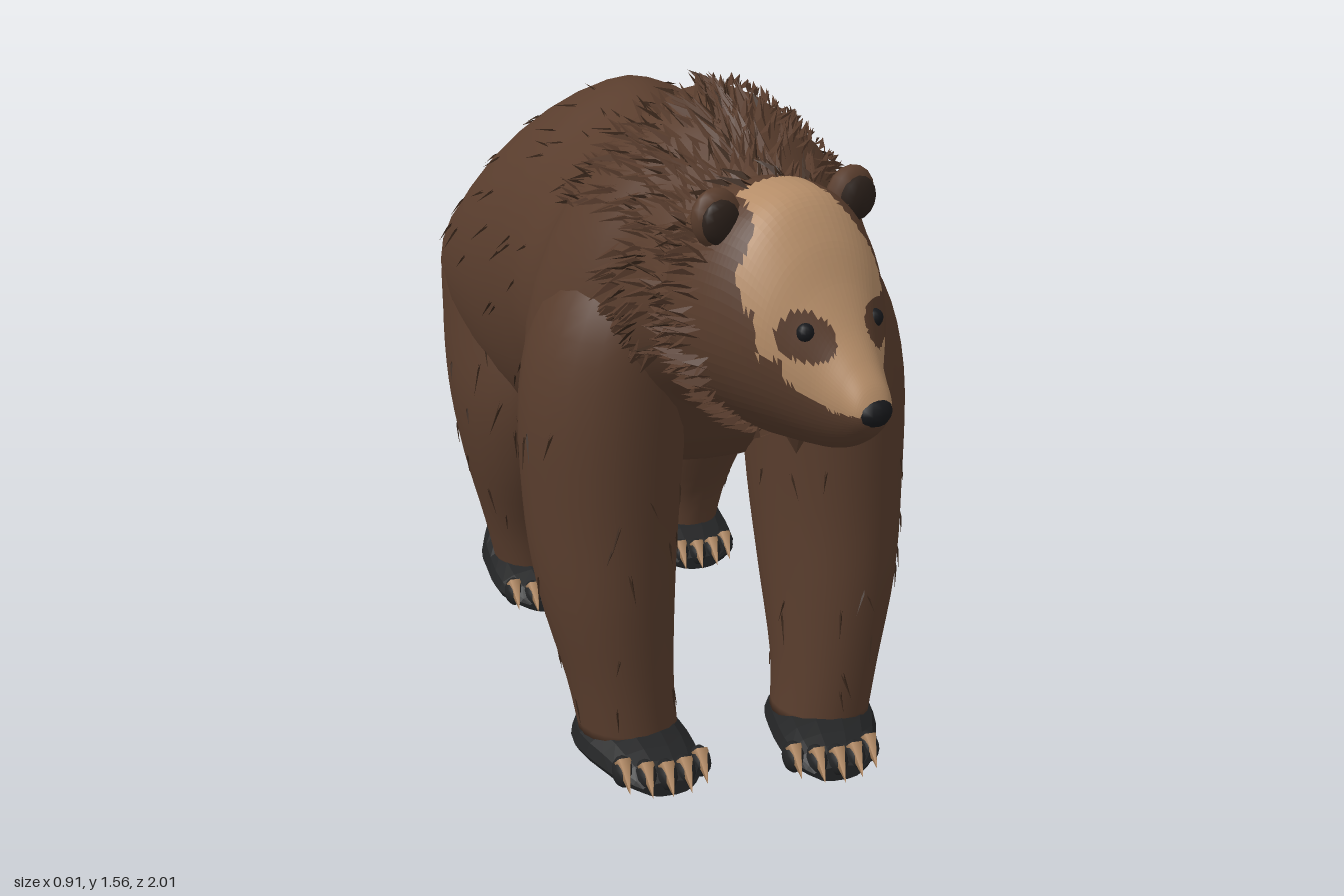
import * as THREE from 'three';

const mat = (name, color, side = THREE.FrontSide) => {
  const m = new THREE.MeshStandardMaterial({ color, side });
  m.name = name;
  return m;
};

// Seeded random numbers
let seed = 7;
const rnd = (a = 0, b = 1) => {
  seed = (seed * 16807) % 2147483647;
  return a + (b - a) * (seed / 2147483647);
};

// Smooth interpolation through rows of section values, u in 0..1
function sample(rows, u) {
  const f = THREE.MathUtils.clamp(u, 0, 1) * (rows.length - 1);
  const i = Math.min(Math.floor(f), rows.length - 2), t = f - i;
  const p0 = rows[Math.max(i - 1, 0)], p1 = rows[i], p2 = rows[i + 1];
  const p3 = rows[Math.min(i + 2, rows.length - 1)];
  return p1.map((b, k) => {
    const m1 = (p2[k] - p0[k]) / 2, m2 = (p3[k] - b) / 2, d = p2[k] - b;
    return b + t * (m1 + t * (3 * d - 2 * m1 - m2 + t * (m1 + m2 - 2 * d)));
  });
}

// Surface along z, rows from front to back: [z, top, widest y, bottom, half width, centre x]
const alongZ = (rows, upper, lower) => (u, t) => {
  const [z, top, mid, bot, w, cx = 0] = sample(rows, u);
  const c = Math.cos(t), s = Math.sin(t);
  const x = w * Math.sign(c) * Math.pow(Math.abs(c), s > 0 ? upper : lower);
  return new THREE.Vector3(cx + x, mid + s * (s > 0 ? top - mid : mid - bot), z);
};

// Surface along y, rows from bottom to top: [y, centre x, centre z, radius x, radius z]
const alongY = (rows) => (u, t) => {
  const [y, cx, cz, rx, rz] = sample(rows, u);
  return new THREE.Vector3(cx + rx * Math.cos(t), y, cz + rz * Math.sin(t));
};

// Skin a surface function with closed rings and end caps
function loft(fn, nu, nv) {
  const pos = [], idx = [];
  for (let i = 0; i <= nu; i++)
    for (let j = 0; j < nv; j++) pos.push(...fn(i / nu, (j / nv) * Math.PI * 2).toArray());
  for (let i = 0; i < nu; i++)
    for (let j = 0; j < nv; j++) {
      const k = (j + 1) % nv, a = i * nv + j, b = a + nv, c = i * nv + k, d = c + nv;
      idx.push(a, b, c, b, d, c);
    }
  for (let j = 1; j < nv - 1; j++) {
    idx.push(0, j, j + 1);
    idx.push(nu * nv, nu * nv + j + 1, nu * nv + j);
  }
  const g = new THREE.BufferGeometry();
  g.setAttribute('position', new THREE.Float32BufferAttribute(pos, 3));
  g.setIndex(idx);
  g.computeVertexNormals();
  return g;
}

const flat = (g) => {
  const f = g.toNonIndexed();
  f.computeVertexNormals();
  return f;
};

// Sort faces into two material groups by a rule on their centres
function paint(g, rule) {
  const p = g.attributes.position, idx = g.index.array, sets = [[], []];
  const v = new THREE.Vector3(), c = new THREE.Vector3();
  for (let i = 0; i < idx.length; i += 3) {
    c.set(0, 0, 0);
    for (let k = 0; k < 3; k++) c.addScaledVector(v.fromBufferAttribute(p, idx[i + k]), 1 / 3);
    sets[rule(c) ? 1 : 0].push(idx[i], idx[i + 1], idx[i + 2]);
  }
  g.setIndex([...sets[0], ...sets[1]]);
  g.addGroup(0, sets[0].length, 0);
  g.addGroup(sets[0].length, sets[1].length, 1);
  return g;
}

// Pointed fur locks lying on a surface; along = +1 or -1 in u, droop = pull downwards
function locks(fn, count, [u0, u1], [t0, t1], { length, width, lift, along = 1, droop = 0 }) {
  const pos = [];
  for (let i = 0; i < count; i++) {
    const u = rnd(u0, u1), t = rnd(t0, t1), p = fn(u, t);
    const du = fn(u + 0.01, t).sub(fn(u - 0.01, t)).normalize();
    const dt = fn(u, t + 0.02).sub(fn(u, t - 0.02)).normalize();
    const n = du.clone().cross(dt).normalize();
    const d = du.multiplyScalar(along).addScaledVector(dt, rnd(-0.45, 0.45) - droop * Math.cos(t)).normalize();
    const s = n.clone().cross(d), L = length * rnd(0.6, 1.3), W = width * rnd(0.6, 1.2);
    const a = p.clone().addScaledVector(s, W).addScaledVector(n, -0.004);
    const b = p.clone().addScaledVector(s, -W).addScaledVector(n, -0.004);
    const ridge = p.clone().addScaledVector(d, L * 0.3).addScaledVector(n, lift * 0.7);
    const tip = p.clone().addScaledVector(d, L).addScaledVector(n, lift);
    for (const q of [a, ridge, tip, ridge, b, tip]) pos.push(q.x, q.y, q.z);
  }
  const g = new THREE.BufferGeometry();
  g.setAttribute('position', new THREE.Float32BufferAttribute(pos, 3));
  g.computeVertexNormals();
  return g;
}

export function createModel() {
  seed = 7;
  const model = new THREE.Group();
  model.name = 'bear';
  const fur = mat('brown fur', 0x593d2d), tuft = mat('brown fur locks', 0x553a2b, THREE.DoubleSide);
  const shade = mat('dark fur locks', 0x3b281c, THREE.DoubleSide), tan = mat('tan face', 0xb58d68);
  const black = mat('black paw', 0x232425), dark = mat('dark nose and eye', 0x17181b);
  const inner = mat('ear inside', 0x2c211b), claw = mat('claw', 0xb48a62);
  const add = (name, geo, material, parent = model) => {
    const m = new THREE.Mesh(geo, material);
    m.name = name;
    parent.add(m);
    return m;
  };
  const ball = (name, material, p, s, parent) => {
    const m = add(name, new THREE.SphereGeometry(1, 12, 8), material, parent);
    m.position.set(...p);
    m.scale.set(...s);
    return m;
  };

  // Trunk with neck, shoulder hump, belly and rump
  const trunk = alongZ([
    [0.65, 1.385, 1.15, 0.93, 0.2], [0.55, 1.43, 1.14, 0.9, 0.24], [0.46, 1.48, 1.08, 0.86, 0.28],
    [0.38, 1.515, 1.0, 0.77, 0.35], [0.28, 1.535, 0.92, 0.68, 0.41], [0.2, 1.525, 0.9, 0.64, 0.42],
    [0.1, 1.465, 0.92, 0.62, 0.38], [0, 1.41, 0.95, 0.59, 0.365], [-0.12, 1.385, 0.95, 0.54, 0.372],
    [-0.25, 1.4, 0.93, 0.48, 0.375], [-0.36, 1.425, 0.93, 0.455, 0.39], [-0.48, 1.41, 0.92, 0.455, 0.425],
    [-0.6, 1.36, 0.9, 0.48, 0.44], [-0.72, 1.275, 0.88, 0.52, 0.435], [-0.82, 1.19, 0.88, 0.58, 0.42],
    [-0.9, 1.1, 0.87, 0.65, 0.375], [-0.95, 1.03, 0.86, 0.7, 0.32], [-0.985, 0.95, 0.85, 0.74, 0.21],
    [-1, 0.87, 0.84, 0.8, 0.06]], 1.25, 0.95);
  add('trunk', loft(trunk, 54, 36), fur);

  // Fur on neck, hump and flanks
  const around = [-0.5, Math.PI + 0.5], over = [0.65, Math.PI - 0.65];
  const ruff = { length: 0.09, width: 0.016, lift: 0.014, droop: 0.3 };
  const fine = { ...ruff, width: 0.008 };
  add('neckRuff', locks(trunk, 200, [0.02, 0.12], around, ruff), tuft);
  add('neckRuffShade', locks(trunk, 60, [0.02, 0.12], around, fine), shade);
  add('humpRuff', locks(trunk, 150, [0.12, 0.23], over, ruff), tuft);
  add('humpRuffShade', locks(trunk, 60, [0.12, 0.25], over, fine), shade);
  const coat = { length: 0.08, width: 0.005, lift: 0.005, droop: 0.9 };
  add('flankFur', locks(trunk, 110, [0.28, 0.9], around, coat), shade);

  // Legs, paws and claws
  const legs = [
    ['frontLeftLeg', 1, 0, true], ['frontRightLeg', -1, -0.04, true],
    ['hindLeftLeg', 1, 0, false], ['hindRightLeg', -1, 0.16, false]];
  const frontRows = [
    [0.07, 0.228, 0.4, 0.115, 0.125], [0.2, 0.243, 0.385, 0.125, 0.14], [0.4, 0.262, 0.335, 0.157, 0.185],
    [0.6, 0.265, 0.3, 0.177, 0.205], [0.87, 0.255, 0.285, 0.19, 0.21], [1.08, 0.21, 0.28, 0.18, 0.2],
    [1.27, 0.13, 0.27, 0.13, 0.12]];
  const hindRows = [
    [0.07, 0.235, -0.8, 0.095, 0.115], [0.2, 0.245, -0.79, 0.115, 0.135], [0.4, 0.26, -0.74, 0.152, 0.212],
    [0.58, 0.255, -0.708, 0.185, 0.265], [0.76, 0.235, -0.7, 0.207, 0.285], [0.94, 0.21, -0.69, 0.217, 0.27],
    [1.12, 0.17, -0.67, 0.16, 0.17]];
  const frontPaw = [
    [0.64, 0.035, 0.025, 0, 0.06, 0.195], [0.6, 0.07, 0.035, 0, 0.097, 0.2], [0.52, 0.095, 0.035, 0, 0.118, 0.21],
    [0.42, 0.105, 0.04, 0, 0.13, 0.228], [0.32, 0.1, 0.04, 0, 0.11, 0.23], [0.26, 0.06, 0.035, 0, 0.05, 0.23]];
  const hindPaw = [
    [-0.585, 0.035, 0.025, 0, 0.06, 0.225], [-0.615, 0.065, 0.035, 0, 0.1, 0.225],
    [-0.69, 0.095, 0.04, 0, 0.125, 0.23], [-0.8, 0.12, 0.05, 0, 0.122, 0.235],
    [-0.88, 0.17, 0.06, 0, 0.115, 0.24], [-0.925, 0.2, 0.07, 0, 0.09, 0.242], [-0.94, 0.18, 0.08, 0.01, 0.04, 0.242]];
  for (const [name, side, shift, front] of legs) {
    const leg = new THREE.Group();
    leg.name = name;
    model.add(leg);
    const rows = (front ? frontRows : hindRows).map(([y, x, z, rx, rz]) =>
      [y, side * x, z + shift * THREE.MathUtils.clamp(1.3 - 1.4 * y, 0, 1), rx, rz]);
    const limb = alongY(rows);
    add('limb', loft(limb, 24, 22), fur, leg);
    add('limbFur', locks(limb, 32, [0.12, 0.7], [0, Math.PI * 2],
      { length: 0.08, width: 0.005, lift: 0.004, along: -1 }), shade, leg);
    const pawRows = (front ? frontPaw : hindPaw).map(([z, top, mid, bot, w, x]) => [z + shift, top, mid, bot, w, side * x]);
    const toeZ = pawRows[0][0], toeX = pawRows[0][5];
    add('paw', flat(loft(alongZ(pawRows, 0.9, 0.8), 10, 14)), black, leg);
    for (let i = -2; i <= 2; i++) {
      const x = toeX + i * 0.045, z = toeZ - 0.022 - i * i * 0.01;
      ball('toe', black, [x, 0.042, z], [0.025, 0.036, 0.038], leg);
      const c = add('claw', new THREE.ConeGeometry(0.021, 0.08, 5), claw, leg);
      c.position.set(x, 0.044, z + 0.034);
      c.rotation.x = Math.PI / 2 + 0.75;
    }
  }

  // Head, turned a little to its left
  const head = new THREE.Group();
  head.name = 'head';
  head.position.set(-0.02, 0, 0.55);
  head.rotation.y = 0.32;
  model.add(head);
  const skull = alongZ([
    [0.468, 1.03, 1.01, 0.985, 0.025], [0.45, 1.065, 1.015, 0.96, 0.046], [0.415, 1.11, 1.03, 0.935, 0.062],
    [0.375, 1.165, 1.05, 0.915, 0.084], [0.33, 1.24, 1.085, 0.9, 0.122], [0.28, 1.33, 1.12, 0.892, 0.165],
    [0.22, 1.4, 1.14, 0.885, 0.198], [0.15, 1.42, 1.15, 0.88, 0.22], [0.07, 1.415, 1.15, 0.89, 0.225],
    [-0.02, 1.39, 1.15, 0.92, 0.19]], 0.95, 1.35);
  // Tan forehead, bridge and muzzle around brown eye patches
  const isTan = ({ x, y, z }) => {
    const ax = Math.abs(x);
    if (Math.hypot((ax - 0.09) / 0.05, (y - 1.155) / 0.048) < 1) return false;
    if (y > 1.2) return z > 0.11 && Math.abs(x + 0.015) < 0.16 - Math.max(y - 1.27, 0) * 0.6;
    if (y > 1.11) return x > -0.165 && x < 0.09;
    return z > 0.32 && y > 1.01 + Math.max(0, 0.4 - z) * 0.7;
  };
  add('skull', flat(paint(loft(skull, 64, 72), isTan)), [fur, tan], head);
  const cheeks = { length: 0.08, width: 0.016, lift: 0.025, droop: 0.3 };
  add('cheekFurLeft', locks(skull, 110, [0.74, 0.97], [-1.2, 0.8], cheeks), tuft, head);
  add('cheekFurRight', locks(skull, 110, [0.74, 0.97], [Math.PI - 0.8, Math.PI + 1.2], cheeks), tuft, head);
  add('cheekShade', locks(skull, 40, [0.8, 0.98], around, { ...cheeks, width: 0.008 }), shade, head);

  ball('nose', dark, [0, 1.012, 0.446], [0.043, 0.034, 0.034], head);
  for (const s of [-1, 1]) {
    ball('eye', dark, [s * 0.087, 1.163, 0.336], [0.02, 0.02, 0.018], head);
    ball('ear', fur, [s * 0.17 + 0.012, 1.362, 0.13], [0.06, 0.064, 0.032], head).rotation.z = -s * 0.4;
    ball('earInside', inner, [s * 0.174 + 0.012, 1.358, 0.152], [0.046, 0.048, 0.02], head).rotation.z = -s * 0.4;
  }
  // Chin tuft
  const chin = add('chinTuft', flat(new THREE.ConeGeometry(0.09, 0.16, 7)), fur, head);
  chin.position.set(0, 0.925, 0.2);
  chin.rotation.x = Math.PI;
  return model;
}
